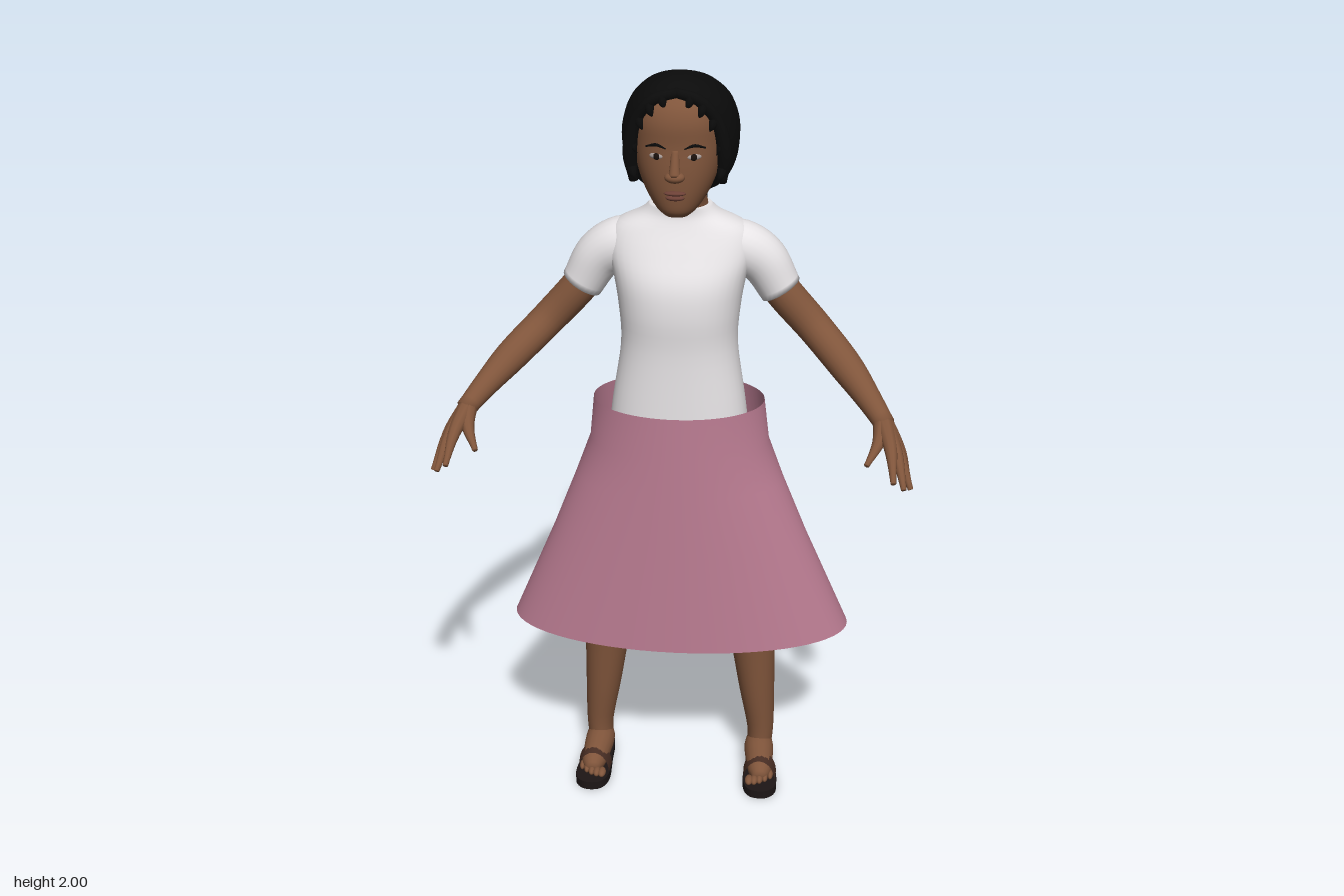
import * as THREE from 'three';

const mat = (name, color, side = THREE.FrontSide) => {
  const m = new THREE.MeshStandardMaterial({ color, side });
  m.name = name;
  return m;
};

// Joins rings of points (ordered along their axis) into one smooth surface.
function joinRings(rings, caps = true) {
  const n = rings[0].length, pos = [], idx = [];
  rings.forEach(r => r.forEach(p => pos.push(p.x, p.y, p.z)));
  for (let i = 0; i < rings.length - 1; i++) {
    for (let j = 0; j < n; j++) {
      const k = (j + 1) % n, a = i * n + j, b = i * n + k;
      idx.push(a, b, b + n, a, b + n, a + n);
    }
  }
  if (caps) {
    [rings[0], rings[rings.length - 1]].forEach((ring, e) => {
      const c = ring.reduce((s, p) => s.add(p), new THREE.Vector3()).divideScalar(n);
      const ci = pos.length / 3, o = e * (rings.length - 1) * n;
      pos.push(c.x, c.y, c.z);
      for (let j = 0; j < n; j++) {
        const k = (j + 1) % n;
        if (e) idx.push(o + j, o + k, ci); else idx.push(o + k, o + j, ci);
      }
    });
  }
  const g = new THREE.BufferGeometry();
  g.setAttribute('position', new THREE.Float32BufferAttribute(pos, 3));
  g.setIndex(idx);
  g.computeVertexNormals();
  return g;
}

function spline(v, t) {
  const f = t * (v.length - 1), i = Math.min(Math.floor(f), v.length - 2), u = f - i;
  const p1 = v[i], p2 = v[i + 1], p0 = v[i - 1] ?? p1, p3 = v[i + 2] ?? p2;
  const m1 = (p2 - p0) / 2, m2 = (p3 - p1) / 2;
  return p1 + m1 * u + (3 * (p2 - p1) - 2 * m1 - m2) * u * u + (2 * (p1 - p2) + m1 + m2) * u ** 3;
}

// Horizontal sections, bottom to top: [y, centre x, half width, front z, back z]
function loft(rows, { steps = 4, n = 40, power = 1, caps = true } = {}) {
  const count = (rows.length - 1) * steps, rings = [];
  const pw = v => Math.sign(v) * Math.abs(v) ** power;
  for (let i = 0; i <= count; i++) {
    const [y, cx, w, zf, zb] = rows[0].map((_, k) => spline(rows.map(r => r[k]), i / count));
    rings.push(Array.from({ length: n }, (_, j) => {
      const t = j / n * Math.PI * 2;
      return new THREE.Vector3(cx + w * pw(Math.sin(t)), y, (zf + zb) / 2 + (zf - zb) / 2 * pw(Math.cos(t)));
    }));
  }
  return joinRings(rings, caps);
}

// Round tube of changing radius through points; s mirrors x.
function limb(points, radii, s = 1, n = 16) {
  const curve = new THREE.CatmullRomCurve3(points.map(p => new THREE.Vector3(p[0] * s, p[1], p[2])));
  const steps = (points.length - 1) * 5, f = curve.computeFrenetFrames(steps), rings = [];
  for (let i = 0; i <= steps; i++) {
    // frames are spaced by arc length, so use the matching point and control radius
    const u = i / steps, c = curve.getPointAt(u), r = spline(radii, curve.getUtoTmapping(u));
    rings.push(Array.from({ length: n }, (_, j) => {
      const t = j / n * Math.PI * 2;
      return c.clone().addScaledVector(f.normals[i], r * Math.cos(t)).addScaledVector(f.binormals[i], r * Math.sin(t));
    }));
  }
  return joinRings(rings);
}

export function createModel() {
  const root = new THREE.Group();
  const skin = mat('brown skin', 0x80553b), shirt = mat('white shirt', 0xe6e3e5);
  const pink = mat('pink skirt', 0xbd7e94, THREE.DoubleSide), hair = mat('black hair', 0x0b0b0b);
  const sole = mat('dark sole', 0x1d1616), strap = mat('brown strap', 0x4a2f25, THREE.DoubleSide);
  const eyeWhite = mat('eye white', 0xa89c98), iris = mat('dark iris', 0x1a110d), lip = mat('lips', 0x6c4036);

  const add = (name, geo, m) => {
    const mesh = new THREE.Mesh(geo, m);
    mesh.name = name;
    root.add(mesh);
    return mesh;
  };
  const ball = (name, m, x, y, z, sx, sy, sz) => {
    const b = add(name, new THREE.SphereGeometry(1, 20, 14), m);
    b.position.set(x, y, z);
    b.scale.set(sx, sy, sz);
    return b;
  };

  // Skirt: flat in front, flaring to the sides and back
  add('skirt', loft([
    [0.46, 0, 0.46, 0.11, -0.295], [0.75, 0, 0.34, 0.11, -0.24], [0.92, 0, 0.275, 0.11, -0.212],
    [1.03, 0, 0.235, 0.11, -0.213], [1.15, 0, 0.222, 0.11, -0.185],
  ], { steps: 1, n: 64, caps: false }), pink);

  // Torso
  add('shirt', loft([
    [1.04, 0, 0.185, 0.075, -0.155], [1.15, 0, 0.172, 0.07, -0.15], [1.3, 0, 0.15, 0.065, -0.163],
    [1.4, 0, 0.155, 0.07, -0.182], [1.48, 0, 0.168, 0.06, -0.19], [1.55, 0, 0.185, 0.025, -0.185],
    [1.605, 0, 0.17, -0.005, -0.172], [1.64, 0, 0.105, -0.02, -0.15], [1.665, 0, 0.077, -0.02, -0.138],
  ], { power: 0.9 }), shirt);
  add('hips', loft([[0.86, 0, 0.12, 0.04, -0.13], [0.95, 0, 0.18, 0.06, -0.15], [1.1, 0, 0.165, 0.05, -0.14]]), skin);
  add('neck', loft([[1.58, 0, 0.075, -0.02, -0.13], [1.66, 0, 0.07, -0.022, -0.132], [1.7, 0, 0.065, 0, -0.12], [1.78, 0, 0.07, 0.02, -0.12]]), skin);

  // Head and face
  add('head', loft([
    [1.668, 0, 0.03, 0.055, -0.01], [1.685, 0, 0.052, 0.07, -0.06], [1.72, 0, 0.076, 0.077, -0.1],
    [1.76, 0, 0.094, 0.08, -0.12], [1.8, 0, 0.104, 0.08, -0.13], [1.85, 0, 0.11, 0.077, -0.14],
    [1.9, 0, 0.108, 0.077, -0.14], [1.94, 0, 0.092, 0.063, -0.13], [1.968, 0, 0.055, 0.036, -0.1],
  ], { power: 0.92 }), skin);
  add('noseBridge', limb([[0, 1.84, 0.07], [0, 1.805, 0.083], [0, 1.78, 0.09]], [0.01, 0.012, 0.015]), skin);
  ball('noseTip', skin, 0, 1.779, 0.085, 0.025, 0.014, 0.02);
  ball('upperLip', lip, 0, 1.737, 0.079, 0.027, 0.006, 0.011);
  ball('lowerLip', lip, 0, 1.725, 0.077, 0.023, 0.007, 0.011);

  // Hair cap
  add('hairCap', loft([
    [1.64, 0, 0.03, -0.16, -0.215], [1.69, 0, 0.075, -0.07, -0.21], [1.72, 0, 0.108, -0.02, -0.205],
    [1.77, 0, 0.135, 0.015, -0.207], [1.83, 0, 0.145, 0.033, -0.217], [1.88, 0, 0.141, 0.04, -0.225],
    [1.93, 0, 0.122, 0.045, -0.21], [1.97, 0, 0.086, 0.037, -0.16], [1.99, 0, 0.05, 0.012, -0.11], [2, 0, 0.015, -0.02, -0.06],
  ], { power: 0.8 }), hair);

  // Braid of crossing strands, ending in a tuft
  const braidZ = y => spline([-0.215, -0.227, -0.235, -0.222, -0.2, -0.18], (y - 1.25) / 0.45);
  add('braidRoot', limb([[0, 1.76, -0.16], [0, 1.68, -0.185], [0, 1.58, -0.207]], [0.05, 0.055, 0.035]), hair);
  for (let i = 0; i < 14; i++) {
    const k = i / 13, y = 1.66 - 0.33 * k, s = i % 2 ? 1 : -1, r = 0.042 - 0.015 * k;
    ball('braidStrand', hair, s * r * 0.5, y, braidZ(y), r, r * 0.75, r).rotation.z = s * 0.6;
  }
  add('braidTuft', limb([[0, 1.34, -0.222], [0, 1.3, -0.22], [0, 1.245, -0.213]], [0.016, 0.026, 0.002]), hair);

  // Outline of one sandal sole, seen from above
  const outline = new THREE.Shape();
  outline.moveTo(0.225, -0.135);
  outline.splineThru([[0.256, -0.115], [0.262, -0.05], [0.28, 0.03], [0.278, 0.085], [0.25, 0.112],
    [0.208, 0.105], [0.188, 0.06], [0.19, -0.03], [0.194, -0.11], [0.225, -0.135]].map(p => new THREE.Vector2(...p)));
  const outlinePts = outline.getPoints(5);

  for (const s of [1, -1]) {
    const side = s > 0 ? 'left' : 'right';

    // Eye and brow
    ball(side + 'Eye', eyeWhite, s * 0.046, 1.826, 0.068, 0.018, 0.0075, 0.006).rotation.y = s * 0.35;
    ball(side + 'Iris', iris, s * 0.045, 1.826, 0.072, 0.0085, 0.0085, 0.004).rotation.y = s * 0.35;
    add(side + 'Brow', limb([[0.022, 1.846, 0.074], [0.045, 1.854, 0.07], [0.072, 1.846, 0.056]], [0.002, 0.004, 0.002], s, 8), hair);

    // Hairline strand with short loose locks
    add(side + 'Hairline', limb([[-0.005, 1.974, 0.038], [0.055, 1.957, 0.045], [0.098, 1.9, 0.03], [0.115, 1.82, 0.018], [0.108, 1.745, 0]],
      [0.012, 0.014, 0.016, 0.018, 0.012], s), hair);
    [[0.035, 1.965, 0.045], [0.065, 1.945, 0.047], [0.09, 1.91, 0.037], [0.108, 1.85, 0.022], [0.11, 1.78, 0.015]].forEach(([x, y, z]) =>
      add(side + 'Lock', limb([[x, y, z], [x - 0.004, y - 0.015, z + 0.008], [x - 0.012, y - 0.03, z + 0.008]], [0.013, 0.009, 0.001], s, 8), hair));

    // Sleeve and arm
    add(side + 'Sleeve', limb([[0.09, 1.56, -0.09], [0.15, 1.548, -0.092], [0.205, 1.515, -0.095], [0.255, 1.435, -0.095]],
      [0.06, 0.068, 0.064, 0.055], s, 24), shirt);
    add(side + 'Arm', limb([[0.19, 1.53, -0.093], [0.255, 1.435, -0.095], [0.345, 1.335, -0.085], [0.43, 1.26, -0.01], [0.49, 1.205, 0.065], [0.53, 1.165, 0.12]],
      [0.045, 0.047, 0.045, 0.042, 0.032, 0.026], s, 20), skin);

    // Hand: each finger runs from wrist through knuckle to tip
    const wrist = [0.525, 1.17, 0.11];
    [['Index', [0.545, 1.135, 0.205], [0.553, 1.085, 0.288]], ['Middle', [0.56, 1.122, 0.2], [0.58, 1.06, 0.27]],
      ['Ring', [0.568, 1.112, 0.185], [0.598, 1.042, 0.23]], ['Little', [0.57, 1.11, 0.165], [0.592, 1.05, 0.178]],
      ['Thumb', [0.515, 1.14, 0.175], [0.487, 1.105, 0.235]]].forEach(([name, knuckle, tip]) =>
      add(side + name + 'Finger', limb([wrist, knuckle, tip], [0.024, 0.016, 0.007], s, 10), skin));

    // Leg, foot and toes
    add(side + 'Leg', loft([
      [0.05, 0.225 * s, 0.034, -0.03, -0.122], [0.12, 0.228 * s, 0.037, -0.03, -0.12], [0.25, 0.216 * s, 0.049, -0.016, -0.131],
      [0.46, 0.196 * s, 0.065, 0, -0.133], [0.7, 0.16 * s, 0.083, 0.03, -0.14], [0.9, 0.12 * s, 0.098, 0.05, -0.15], [1.02, 0.1 * s, 0.08, 0.05, -0.14],
    ], { n: 28 }), skin);
    add(side + 'Foot', limb([[0.225, 0.065, -0.115], [0.226, 0.064, -0.06], [0.23, 0.056, 0], [0.234, 0.048, 0.05], [0.234, 0.04, 0.075]],
      [0.026, 0.04, 0.038, 0.032, 0.018], s), skin);
    for (let i = 0; i < 5; i++) {
      ball(side + 'Toe', skin, s * (0.206 + i * 0.0145), 0.04, 0.084 - i * i * 0.002, 0.011 - i * 0.0008, 0.011, 0.02);
    }

    // Sandal
    const shape = new THREE.Shape(outlinePts.map(p => new THREE.Vector2(p.x * s, p.y)));
    const soleGeo = new THREE.ExtrudeGeometry(shape, { depth: 0.024, bevelEnabled: false });
    add(side + 'SandalSole', soleGeo.rotateX(Math.PI / 2).translate(0, 0.024, 0), sole);
    const band = new THREE.CylinderGeometry(0.043, 0.046, 0.045, 24, 1, true, Math.PI / 2, Math.PI);
    band.rotateX(Math.PI / 2).scale(1, 1.45, 1).translate(0.233 * s, 0.022, 0.035);
    add(side + 'SandalStrap', band, strap);
  }
  return root;
}
